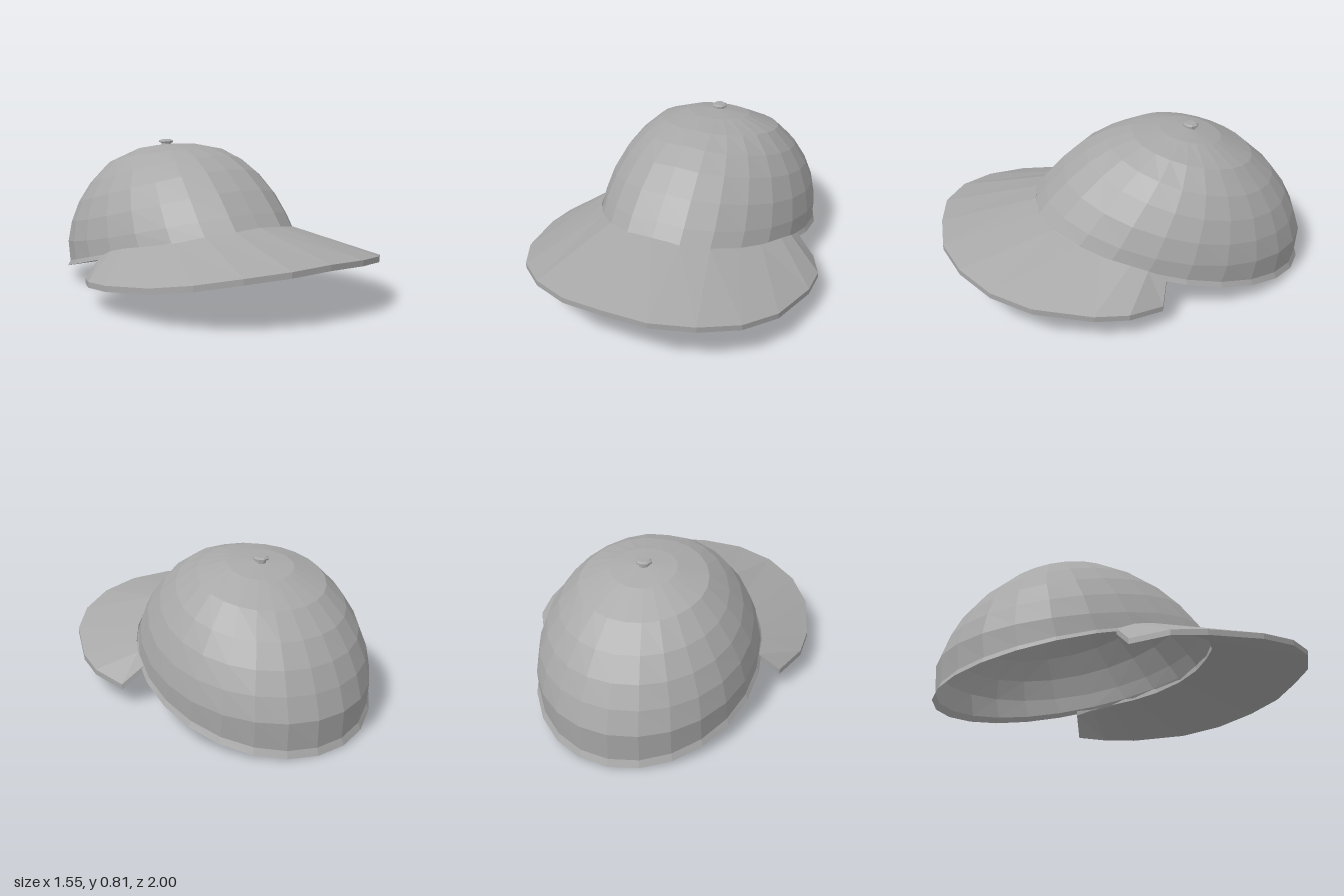
import * as THREE from 'three';

// Flat-faceted surface through rows of points (rows run downward or outward, points to the right)
function loft(rows) {
  const p = [];
  for (let i = 0; i < rows.length - 1; i++) {
    for (let j = 0; j < rows[i].length - 1; j++) {
      const a = rows[i][j], b = rows[i + 1][j], c = rows[i + 1][j + 1], d = rows[i][j + 1];
      p.push(...a, ...b, ...c, ...a, ...c, ...d);
    }
  }
  const g = new THREE.BufferGeometry();
  g.setAttribute('position', new THREE.Float32BufferAttribute(p, 3));
  g.computeVertexNormals();
  return g;
}

// One oval ring of the crown, tilted from front to back
function ring([zf, yf, zb, yb, w, ys], segments = 24) {
  const zc = (zf + zb) / 2, d = (zf - zb) / 2, pts = [];
  for (let j = 0; j <= segments; j++) {
    const a = (j / segments) * Math.PI * 2, c = Math.cos(a);
    const z = Math.min(zf, zc + d * c * (c > 0 ? 1.03 : 1));
    const y = (yf * (1 + c) + yb * (1 - c)) / 2 + (ys - (yf + yb) / 2) * (1 - c * c);
    pts.push([w * Math.sin(a), y, z]);
  }
  return pts;
}

export function createModel() {
  const cap = new THREE.Group();
  cap.name = 'cap';
  const fabric = new THREE.MeshStandardMaterial({ color: 0xa8a8a8, flatShading: true, side: THREE.DoubleSide });
  fabric.name = 'grey fabric';
  const add = (name, geometry, parent = cap) => {
    const m = new THREE.Mesh(geometry, fabric);
    m.name = name;
    parent.add(m);
    return m;
  };

  // Crown: front z, front y, back z, back y, half width, side y
  const rings = [
    [-0.36, 0.785, -0.37, 0.783, 0.005, 0.785],
    [-0.2, 0.792, -0.53, 0.735, 0.17, 0.77],
    [-0.05, 0.78, -0.7, 0.64, 0.33, 0.71],
    [0.08, 0.745, -0.82, 0.53, 0.43, 0.61],
    [0.2, 0.68, -0.9, 0.42, 0.5, 0.51],
    [0.32, 0.58, -0.955, 0.31, 0.55, 0.4],
    [0.42, 0.47, -0.995, 0.19, 0.575, 0.29],
    [0.475, 0.4, -0.985, 0.04, 0.577, 0.205],
    [0.485, 0.385, -1, 0.004, 0.59, 0.18],
  ];
  add('crown', loft(rings.map((r) => ring(r))));

  // Brim: half of the inner and outer edges, mirrored across the middle
  const inner = [[0, 0.405, 0.48], [0.15, 0.395, 0.465], [0.29, 0.375, 0.405], [0.4, 0.34, 0.29],
    [0.48, 0.315, 0.17], [0.54, 0.29, 0.03], [0.565, 0.265, -0.06], [0.57, 0.225, -0.155]];
  const outer = [[0, 0.298, 0.995], [0.23, 0.29, 0.98], [0.44, 0.27, 0.89], [0.61, 0.235, 0.74],
    [0.72, 0.2, 0.54], [0.775, 0.165, 0.24], [0.765, 0.15, 0.06], [0.68, 0.125, -0.12]];
  const mirror = (half) => [...half.slice(1).reverse().map(([x, y, z]) => [-x, y, z]), ...half];
  const lower = (line) => line.map(([x, y, z]) => [x, y - 0.03, z]);
  const it = mirror(inner), ot = mirror(outer), ib = lower(it), ob = lower(ot);
  const n = it.length - 1;
  const brim = new THREE.Group();
  brim.name = 'brim';
  cap.add(brim);
  add('brimPanel', loft([it, ot, ob, ib, it]), brim);
  add('brimLeftEnd', loft([[it[n], ib[n]], [ot[n], ob[n]]]), brim);
  add('brimRightEnd', loft([[ot[0], ob[0]], [it[0], ib[0]]]), brim);

  // Button on top
  const profile = [[0.028, 0.775], [0.028, 0.79], [0.041, 0.795], [0.041, 0.803], [0.03, 0.81], [0, 0.81]];
  const button = add('button', new THREE.LatheGeometry(profile.map(([x, y]) => new THREE.Vector2(x, y)), 8));
  button.position.z = -0.365;

  return cap;
}
